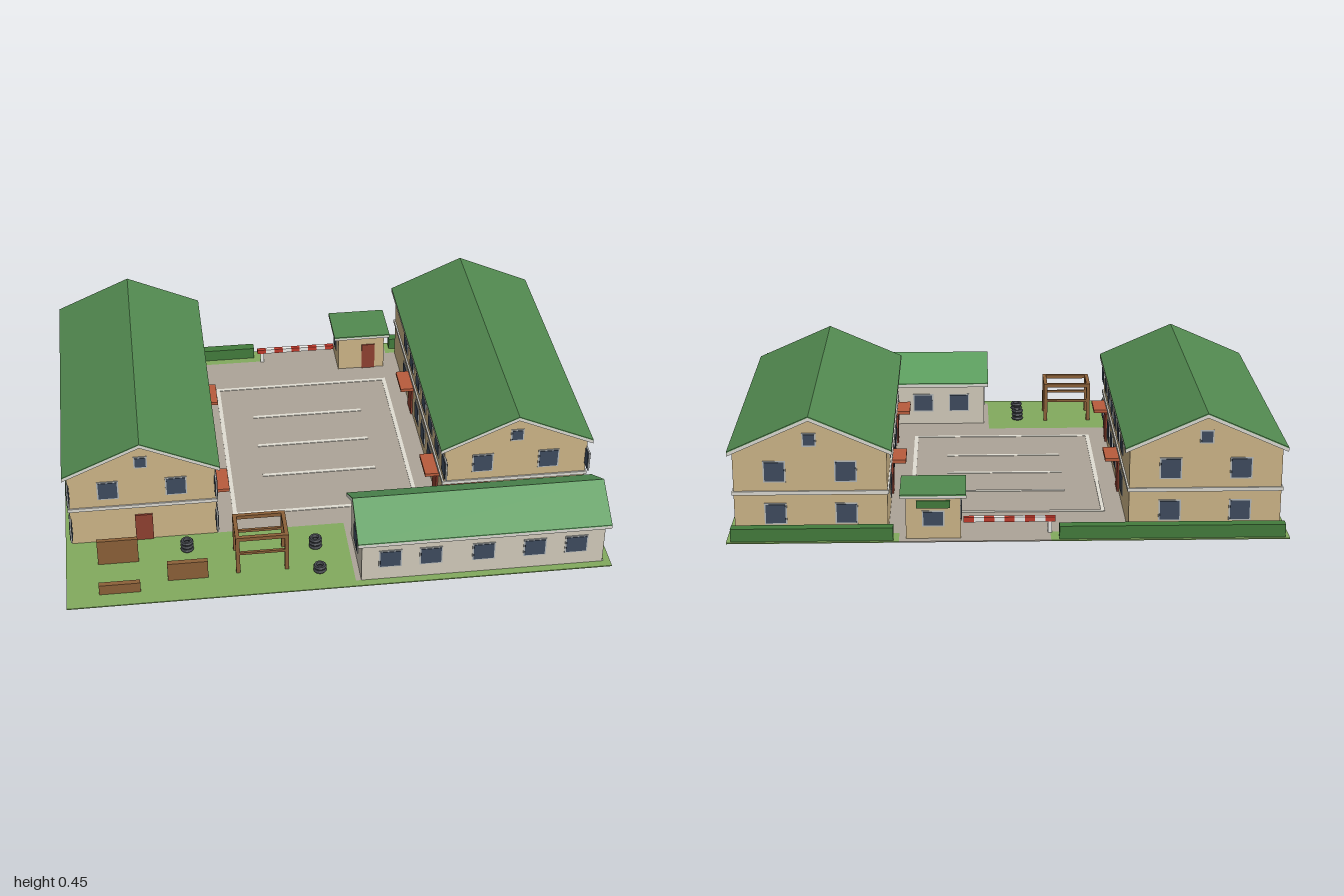
import * as THREE from 'three';

const mat = (color) => new THREE.MeshStandardMaterial({ color, flatShading: true, side: THREE.DoubleSide });
const M = {
  tan: mat(0xcdb588), pale: mat(0xd2cbbb), trim: mat(0xdcdad2), roof: mat(0x528a50), lightRoof: mat(0x589a5a),
  glass: mat(0x3e4b5e), frame: mat(0xb4b8b8), door: mat(0x8f4030), canopy: mat(0xb85c3c), wood: mat(0x8b6038),
  grass: mat(0x82aa5e), yard: mat(0xaca498), hedge: mat(0x437c3c), red: mat(0xc0392b), white: mat(0xeeeeea),
  tyre: mat(0x44474d), line: mat(0xe0ddd2),
};

function add(parent, name, geometry, material, x = 0, y = 0, z = 0) {
  const mesh = new THREE.Mesh(geometry, material);
  mesh.name = name;
  mesh.position.set(x, y, z);
  parent.add(mesh);
  return mesh;
}

// box given by its centre in x and z and by its bottom in y
const box = (p, name, m, x, y, z, w, h, d) =>
  add(p, name, new THREE.BoxGeometry(w, h, d), m, x, y + h / 2, z);

// flat tile given by its corners
const tile = (p, name, m, x0, z0, x1, z1, y = 0, h = 0.004) =>
  box(p, name, m, (x0 + x1) / 2, y, (z0 + z1) / 2, x1 - x0, h, z1 - z0);

function extrude(points, length) {
  const shape = new THREE.Shape(points.map(([x, y]) => new THREE.Vector2(x, y)));
  return new THREE.ExtrudeGeometry(shape, { depth: length, bevelEnabled: false }).translate(0, 0, -length / 2);
}

// drop the triangles lying on the ground so that a building is open below
function openBelow(geometry) {
  const g = geometry.index ? geometry.toNonIndexed() : geometry;
  const p = g.attributes.position, kept = [];
  for (let i = 0; i < p.count; i += 3) {
    if (Math.max(p.getY(i), p.getY(i + 1), p.getY(i + 2)) < 1e-5) continue;
    for (let k = i; k < i + 3; k++) kept.push(p.getX(k), p.getY(k), p.getZ(k));
  }
  const out = new THREE.BufferGeometry();
  out.setAttribute('position', new THREE.Float32BufferAttribute(kept, 3));
  out.computeVertexNormals();
  return out;
}

// panel centred on a wall plane whose normal is along the given axis
function panel(p, name, m, axis, x, y, z, w, h, depth) {
  const size = axis === 'x' ? [depth, h, w] : [w, h, depth];
  add(p, name, new THREE.BoxGeometry(...size), m, x, y, z);
}
function windowAt(p, axis, x, y, z, w = 0.07, h = 0.07) {
  panel(p, 'windowFrame', M.frame, axis, x, y, z, w + 0.01, h + 0.01, 0.006);
  panel(p, 'windowGlass', M.glass, axis, x, y, z, w, h, 0.01);
}

// gabled shell with its ridge along z: walls, pale roof slab and green covering
function house(name, { w, l, eave, ridge, roofW, roofL, roofEave, roofTop, wall, cover }) {
  const g = new THREE.Group();
  g.name = name;
  const a = w / 2, r = roofW / 2, t = 0.013, s = 0.004;
  add(g, 'walls', openBelow(extrude([[-a, 0], [a, 0], [a, eave], [0, ridge], [-a, eave]], l)), wall);
  const chevron = (low, high) => extrude(
    [[-r, low], [0, roofTop - roofEave + low], [r, low], [r, high], [0, roofTop - roofEave + high], [-r, high]], roofL);
  add(g, 'roofSlab', chevron(roofEave - t - s, roofEave - s), M.trim);
  add(g, 'roofCovering', chevron(roofEave - s, roofEave), cover);
  return g;
}

// two-storey wing; side is +1 for the left one, -1 for the right one
function wing(side) {
  const w = 0.545, l = 1.15, a = w / 2, b = l / 2;
  const g = house(side > 0 ? 'leftWing' : 'rightWing', {
    w, l, eave: 0.31, ridge: 0.434, roofW: 0.58, roofL: 1.18, roofEave: 0.322, roofTop: 0.45,
    wall: M.tan, cover: M.roof,
  });
  g.position.set(side * 0.7025, 0, -0.145);
  box(g, 'beltCourse', M.trim, 0, 0.155, 0, w + 0.012, 0.014, l + 0.012);
  // seven bays on both long walls, two inner bays hold doors
  for (let i = 0; i < 7; i++) {
    const z = (3 - i) * 0.1445 + 0.145;
    for (const face of [1, -1]) {
      windowAt(g, 'x', face * a, 0.24, z);
      if (face === -side && (i === 1 || i === 5)) {
        panel(g, 'door', M.door, 'x', face * a, 0.06, z, 0.075, 0.12, 0.014);
        box(g, 'doorCanopy', M.canopy, face * (a + 0.028), 0.136, z, 0.056, 0.013, 0.13);
      } else windowAt(g, 'x', face * a, 0.083, z);
    }
  }
  // gable ends
  for (const end of [1, -1]) {
    for (const x of [-0.126, 0.126]) {
      windowAt(g, 'z', x, 0.242, end * b);
      if (end < 0) windowAt(g, 'z', x, 0.083, -b);
    }
    windowAt(g, 'z', 0, 0.36, end * b, 0.04, 0.04);
  }
  panel(g, 'gableDoor', M.door, 'z', 0, 0.06, b, 0.066, 0.12, 0.014);
  return g;
}

// single-storey building across the front, ridge turned along x
function lowBuilding() {
  const g = house('lowBuilding', {
    w: 0.27, l: 0.9, eave: 0.175, ridge: 0.264, roofW: 0.31, roofL: 0.935, roofEave: 0.187, roofTop: 0.28,
    wall: M.pale, cover: M.lightRoof,
  });
  g.position.set(0.52, 0, 0.635);
  g.rotation.y = Math.PI / 2;
  for (const z of [-0.345, -0.195, 0, 0.19, 0.345]) {
    windowAt(g, 'x', -0.135, 0.097, z, 0.075, 0.066);
    if (z !== 0) windowAt(g, 'x', 0.135, 0.097, z, 0.075, 0.066);
  }
  for (const end of [1, -1]) windowAt(g, 'z', 0, 0.097, end * 0.45, 0.08, 0.072);
  panel(g, 'door', M.door, 'x', 0.135, 0.06, 0, 0.08, 0.12, 0.014);
  box(g, 'doorCanopy', M.canopy, 0.17, 0.138, 0, 0.07, 0.012, 0.16);
  return g;
}

function gatehouse() {
  const g = new THREE.Group();
  g.name = 'gatehouse';
  g.position.set(0.268, 0, -0.697);
  add(g, 'walls', openBelow(new THREE.BoxGeometry(0.195, 0.165, 0.15).translate(0, 0.0825, 0)), M.tan);
  box(g, 'roofSlab', M.trim, 0, 0.163, 0, 0.235, 0.01, 0.2);
  box(g, 'roofCovering', M.roof, 0, 0.173, 0, 0.235, 0.005, 0.2);
  windowAt(g, 'z', 0, 0.08, -0.075, 0.07, 0.05);
  windowAt(g, 'x', -0.0975, 0.09, -0.02, 0.06, 0.05);
  box(g, 'board', M.hedge, 0, 0.12, -0.077, 0.12, 0.028, 0.008);
  panel(g, 'door', M.door, 'z', 0.03, 0.06, 0.075, 0.055, 0.12, 0.01);
  return g;
}

function barrier() {
  const g = new THREE.Group();
  g.name = 'barrier';
  const n = 9, step = 0.0365;
  for (let i = 0; i < n; i++)
    box(g, 'barrierStripe', i % 2 ? M.white : M.red, -0.168 + (i + 0.5) * step, 0.047, -0.722, step, 0.018, 0.018);
  box(g, 'barrierPost', M.white, -0.148, 0, -0.722, 0.014, 0.047, 0.014);
  return g;
}

// wooden climbing frame
function climbingFrame() {
  const g = new THREE.Group();
  g.name = 'climbingFrame';
  g.position.set(-0.282, 0, 0.602);
  const t = 0.015, w = 0.195, d = 0.145, x = (w - t) / 2, z = (d - t) / 2;
  for (const s of [1, -1]) {
    for (const e of [1, -1]) box(g, 'post', M.wood, s * x, 0, e * z, t, 0.155, t);
    box(g, 'topRail', M.wood, 0, 0.15, s * z, w, t, t);
    box(g, 'crossRail', M.wood, s * x, 0.15, 0, t, t, d);
    box(g, 'middleRail', M.wood, 0, 0.085, s * z, w, 0.01, 0.01);
  }
  return g;
}

function tyreStack(x, z, count) {
  const g = new THREE.Group();
  g.name = 'tyreStack';
  for (let i = 0; i < count; i++)
    add(g, 'tyre', new THREE.TorusGeometry(0.017, 0.008, 6, 14).rotateX(Math.PI / 2), M.tyre, x, 0.009 + i * 0.016, z);
  return g;
}

export function createModel() {
  const root = new THREE.Group();
  root.name = 'compound';

  // ground tiles laid around the building footprints
  for (const r of [
    [-1, -0.8, -0.15, -0.72], [0.39, -0.8, 1, -0.72], [-1, -0.72, -0.975, 0.43], [0.975, -0.72, 1, 0.8],
    [-1, 0.43, 0.05, 0.8], [0.05, 0.77, 0.975, 0.8],
  ]) tile(root, 'grass', M.grass, ...r);
  for (const r of [
    [-0.43, -0.72, 0.17, 0.43], [0.365, -0.72, 0.43, 0.43], [0.17, -0.622, 0.365, 0.43], [-0.15, -0.8, 0.17, -0.72],
    [0.17, -0.8, 0.365, -0.772], [0.365, -0.8, 0.39, -0.72], [0.05, 0.43, 0.975, 0.5], [0.05, 0.5, 0.07, 0.77],
  ]) tile(root, 'paving', M.yard, ...r);

  // painted yard lines
  const [x0, x1, z0, z1, t] = [-0.362, 0.358, -0.527, 0.335, 0.015];
  for (const r of [
    [x0, z0, x1, z0 + t], [x0, z1 - t, x1, z1], [x0, z0 + t, x0 + t, z1 - t], [x1 - t, z0 + t, x1, z1 - t],
    ...[-0.305, -0.105, 0.095].map((z) => [-0.225, z - t / 2, 0.222, z + t / 2]),
  ]) tile(root, 'yardLine', M.line, ...r, 0.004, 0.002);

  root.add(wing(1), wing(-1), lowBuilding(), gatehouse(), barrier(), climbingFrame());

  // hedges along the back
  tile(root, 'hedge', M.hedge, -0.985, -0.79, -0.18, -0.752, 0, 0.052);
  tile(root, 'hedge', M.hedge, 0.41, -0.79, 0.985, -0.752, 0, 0.052);

  // obstacle course
  box(root, 'highWall', M.wood, -0.807, 0, 0.557, 0.15, 0.11, 0.016);
  box(root, 'middleWall', M.wood, -0.557, 0, 0.677, 0.148, 0.08, 0.02);
  box(root, 'lowWall', M.wood, -0.807, 0, 0.726, 0.15, 0.045, 0.02);
  root.add(tyreStack(-0.55, 0.515, 3), tyreStack(-0.073, 0.555, 3), tyreStack(-0.073, 0.695, 2));
  return root;
}
